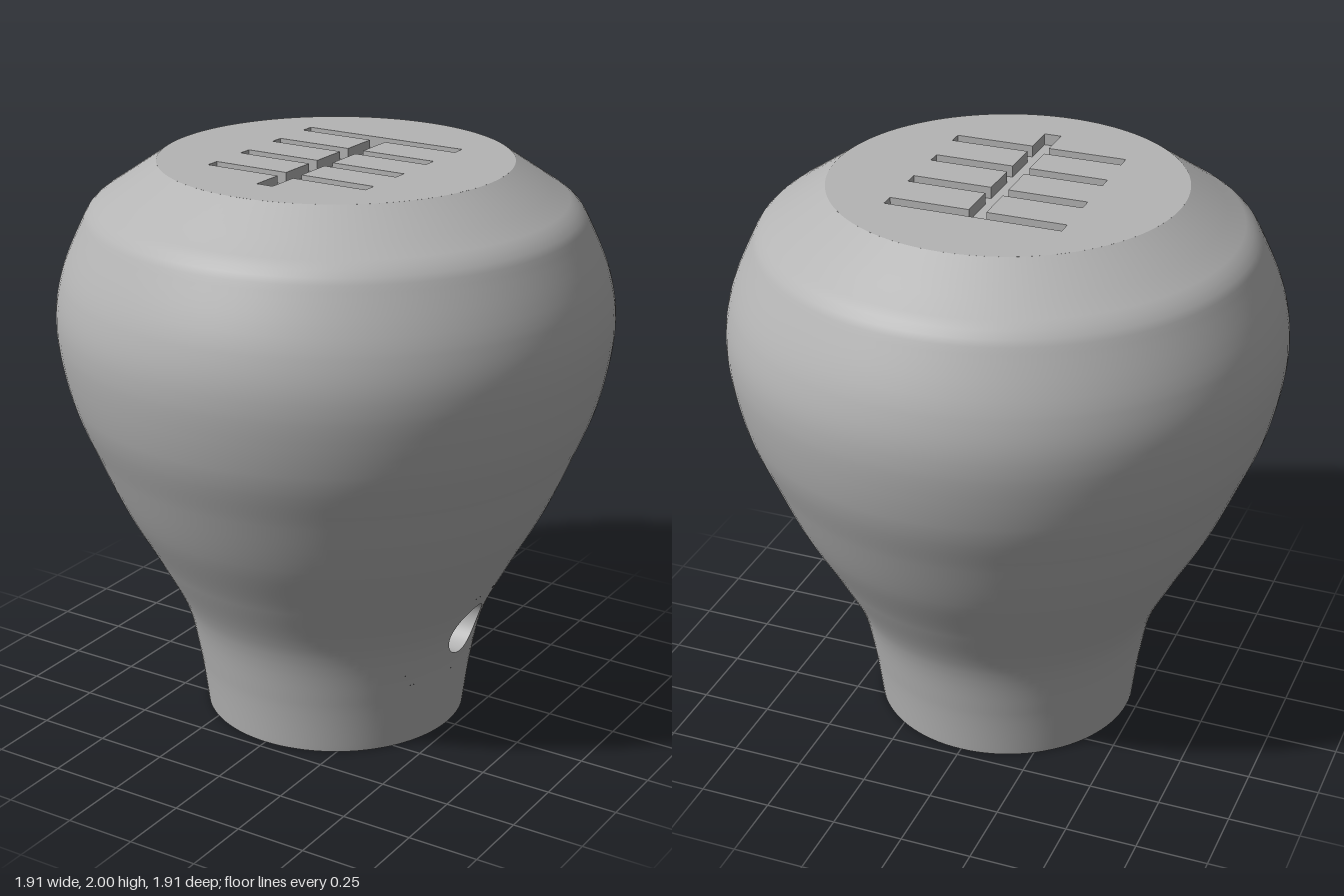
import * as THREE from 'three';
import { ParametricGeometry } from 'three/addons/geometries/ParametricGeometry.js';

const HOLE_Y = 0.39, HOLE_R = 0.095;      // set-screw hole on the +x side
const LO = 0.24, HI = 0.54, GAP = Math.PI / 6; // window around the hole
const BORE_R = 0.22, BORE_TOP = 1.0;
const TOP = 2, TOP_R = 0.602, SLOT_DEPTH = 0.04;

// Outer silhouette as (radius, height)
const profile = new THREE.SplineCurve([
  [0.465, 0], [0.493, 0.2], [0.54, 0.4], [0.64, 0.6], [0.75, 0.8], [0.838, 1.0],
  [0.915, 1.2], [0.956, 1.43], [0.935, 1.61], [0.86, 1.79], [0.82, 1.85],
  [0.745, 1.903], [TOP_R, TOP],
].map(([r, y]) => new THREE.Vector2(r, y))).getPoints(400);

function bodyRadius(y) {
  let i = 1;
  while (i < profile.length - 1 && profile[i].y < y) i++;
  const a = profile[i - 1], b = profile[i];
  return a.x + (b.x - a.x) * (y - a.y) / (b.y - a.y);
}
const boreRadius = () => BORE_R;

export function createModel() {
  const group = new THREE.Group();
  const grey = new THREE.MeshStandardMaterial({ color: 0xb4b4b4 });
  grey.name = 'satinGrey';

  const add = (name, geometry, parent = group) => {
    const mesh = new THREE.Mesh(geometry, grey);
    mesh.name = name;
    parent.add(mesh);
    return mesh;
  };

  // Surface of revolution with a round side hole; inward faces the axis
  function skin(name, radius, yTop, rowsAbove, inward) {
    const part = new THREE.Group();
    part.name = name;
    group.add(part);
    const surface = (label, map, nu, nv) => {
      const place = (u, v, target) => {
        const [phi, y] = map(u, v);
        const r = radius(y);
        target.set(r * Math.cos(phi), y, r * Math.sin(phi));
      };
      add(label, inward
        ? new ParametricGeometry((u, v, t) => place(v, u, t), nv, nu)
        : new ParametricGeometry(place, nu, nv), part);
    };
    const band = (label, y0, y1, gap, rows, cols) => surface(label,
      (u, v) => [gap + v * 2 * (Math.PI - gap), y0 + u * (y1 - y0)], rows, cols);
    band(name + 'Lower', 0, LO, 0, 10, 96);
    band(name + 'Middle', LO, HI, GAP, 14, 80);
    band(name + 'Upper', HI, yTop, 0, rowsAbove, 96);
    // Patch blending from the round hole to the window edge
    surface(name + 'HolePatch', (u, v) => {
      const t = u * Math.PI * 2, c = Math.cos(t), s = Math.sin(t);
      const k = 1 / Math.max(Math.abs(c), Math.abs(s));
      const hy = HOLE_Y + HOLE_R * s;
      const hphi = Math.asin(HOLE_R * c / radius(hy));
      const ey = (LO + HI) / 2 + k * s * (HI - LO) / 2;
      const ephi = k * c * GAP;
      // v = 0 on the hole rim, 1 on the window edge
      return [hphi + (ephi - hphi) * v, hy + (ey - hy) * v];
    }, 64, 8);
  }
  skin('body', bodyRadius, TOP, 70, false);
  skin('bore', boreRadius, BORE_TOP, 4, true);

  // Wall of the side hole, from body to bore
  add('sideHoleWall', new ParametricGeometry((u, v, target) => {
    const t = v * Math.PI * 2;
    const y = HOLE_Y + HOLE_R * Math.sin(t), z = HOLE_R * Math.cos(t);
    const outer = Math.sqrt(bodyRadius(y) ** 2 - z * z);
    const inner = Math.sqrt(BORE_R ** 2 - z * z);
    target.set(outer + (inner - outer) * u, y, z);
  }, 4, 64));

  // Underside ring and closed end of the bore
  add('baseRing', new THREE.RingGeometry(BORE_R, 0.465, 96).rotateX(Math.PI / 2));
  add('boreEnd', new THREE.CircleGeometry(BORE_R, 96).rotateX(Math.PI / 2))
    .position.y = BORE_TOP;

  // Engraved pattern: a spine crossed by four bars, first bar flush with its end
  const half = [[0.03, -0.43]];
  [-0.31, -0.12, 0.075, 0.27].forEach((y) => {
    half.push([0.03, y], [0.305, y], [0.305, y + 0.05]);
    if (y < 0.2) half.push([0.03, y + 0.05]);
  });
  const outline = [...half, ...half.map(([x, y]) => [-x, y]).reverse()]
    .map(([x, y]) => new THREE.Vector2(x, y));

  // Flat top plate with the grooves cut through it
  const plate = new THREE.Shape().absarc(0, 0, TOP_R, 0, Math.PI * 2, false);
  plate.holes.push(new THREE.Path(outline));
  add('topFace', new THREE.ExtrudeGeometry(plate, {
    depth: SLOT_DEPTH, bevelEnabled: false, curveSegments: 96,
  }).rotateX(-Math.PI / 2)).position.y = TOP - SLOT_DEPTH;
  add('grooveFloor', new THREE.ShapeGeometry(new THREE.Shape(outline))
    .rotateX(-Math.PI / 2)).position.y = TOP - SLOT_DEPTH;

  return group;
}
